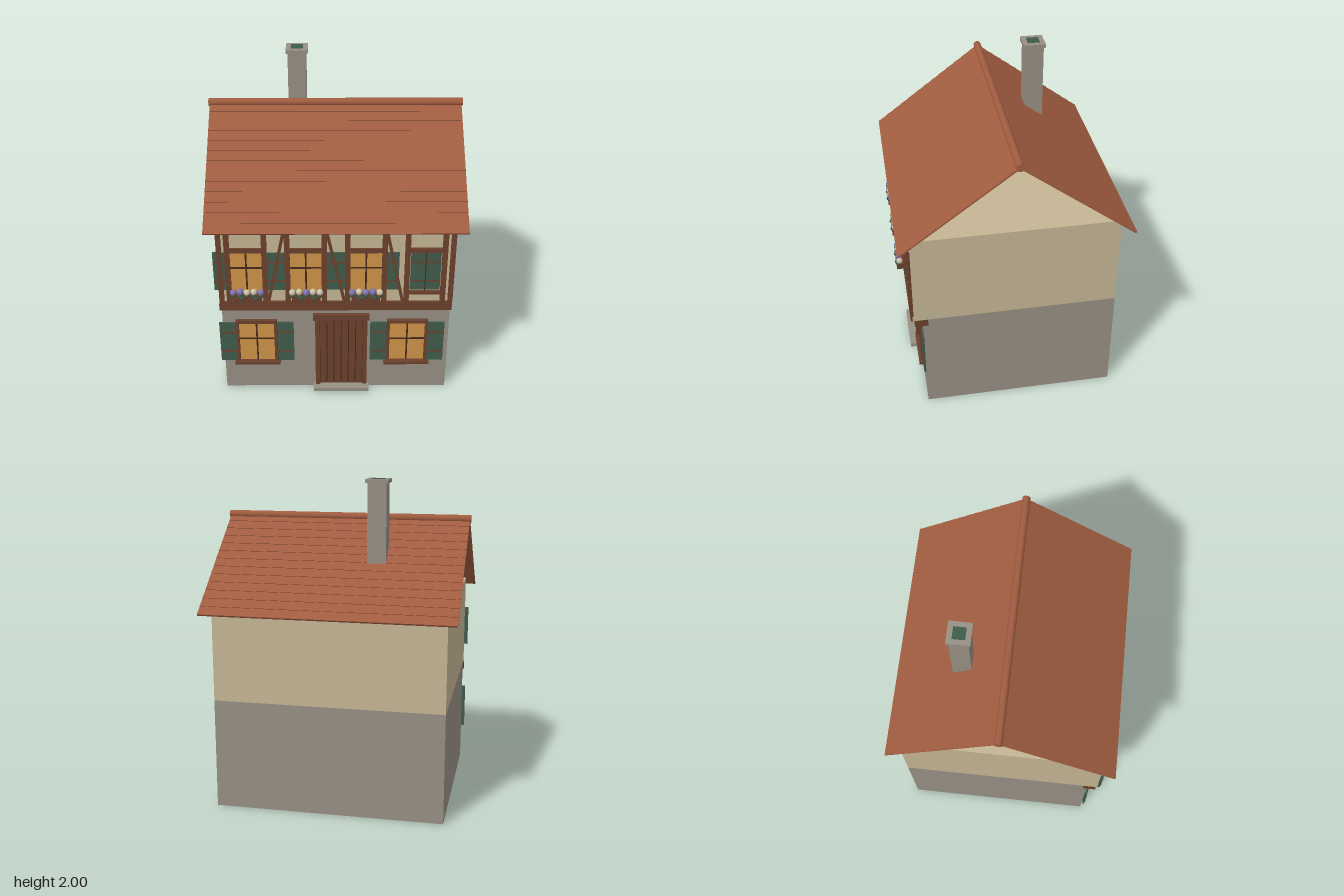
import * as THREE from 'three';

const mat = (name, color) => Object.assign(new THREE.MeshStandardMaterial({ color }), { name });
const M = {
  stone: mat('stone', 0x978f84),
  plaster: mat('plaster', 0xc4b594),
  timber: mat('timber', 0x6b402b),
  dark: mat('darkWood', 0x47291c),
  tile: mat('roofTile', 0xa05c40),
  green: mat('shutterGreen', 0x3f5b4b),
  glass: mat('warmGlass', 0xcf9348),
  violet: mat('violetPetal', 0x7f75b5),
  white: mat('palePetal', 0xcdc5ab),
};

// Box given by its limits on each axis
function box(parent, name, m, x0, x1, y0, y1, z0, z1) {
  const mesh = new THREE.Mesh(new THREE.BoxGeometry(x1 - x0, y1 - y0, z1 - z0), m);
  mesh.position.set((x0 + x1) / 2, (y0 + y1) / 2, (z0 + z1) / 2);
  mesh.name = name;
  parent.add(mesh);
  return mesh;
}

function group(parent, name) {
  const g = new THREE.Group();
  g.name = name;
  parent.add(g);
  return g;
}

function ball(parent, name, m, r, x, y, z) {
  const mesh = new THREE.Mesh(new THREE.SphereGeometry(r, 10, 8), m);
  mesh.position.set(x, y, z);
  mesh.name = name;
  parent.add(mesh);
}

// Shutter leaf with two cross battens
function shutter(parent, cx, w, y0, y1, z) {
  const g = group(parent, 'shutter');
  box(g, 'shutterLeaf', M.green, cx - w / 2, cx + w / 2, y0, y1, z, z + 0.012);
  for (const t of [0.25, 0.75]) {
    const y = y0 + (y1 - y0) * t;
    box(g, 'shutterBatten', M.timber, cx - w / 2 + 0.004, cx + w / 2 - 0.004, y - 0.005, y + 0.005, z + 0.01, z + 0.015);
  }
}

// Glass pane with a crossing pair of glazing bars
function pane(parent, cx, hw, y0, y1, barY, z) {
  box(parent, 'glass', M.glass, cx - hw, cx + hw, y0, y1, z, z + 0.005);
  box(parent, 'glazingBar', M.dark, cx - 0.005, cx + 0.005, y0, y1, z + 0.003, z + 0.009);
  box(parent, 'glazingBar', M.dark, cx - hw, cx + hw, barY - 0.005, barY + 0.005, z + 0.003, z + 0.009);
}

function groundWindow(parent, cx) {
  const g = group(parent, 'groundWindow');
  const z = 0.56;
  pane(g, cx, 0.11, 0.22, 0.51, 0.385, z);
  for (const s of [-1, 1]) {
    const x = cx + s * 0.118;
    box(g, 'windowJamb', M.timber, x - 0.009, x + 0.009, 0.22, 0.51, z, z + 0.022);
    shutter(g, cx + s * 0.179, 0.102, 0.22, 0.51, z + 0.002);
  }
  box(g, 'windowHead', M.timber, cx - 0.127, cx + 0.127, 0.508, 0.53, z, z + 0.022);
  box(g, 'windowSill', M.timber, cx - 0.142, cx + 0.142, 0.2, 0.22, z, z + 0.036);
}

// Planter with a row of blossoms; the pattern marks violet (v) and pale (w)
function flowerBox(parent, cx, pattern) {
  const g = group(parent, 'flowerBox');
  box(g, 'planter', M.timber, cx - 0.085, cx + 0.085, 0.735, 0.775, 0.637, 0.68);
  box(g, 'planterRim', M.timber, cx - 0.1, cx + 0.1, 0.768, 0.785, 0.63, 0.67);
  [...pattern].forEach((c, i) => {
    const x = cx + (i - 2) * 0.041;
    ball(g, 'blossom', c === 'v' ? M.violet : M.white, 0.02, x, 0.8 + (i % 2) * 0.004, 0.662);
    if (i % 2) ball(g, 'leaf', M.green, 0.014, x + 0.01, 0.768, 0.676);
    ball(g, 'leaf', M.green, 0.014, x, 0.782, 0.67);
  });
}

function buildDoor(parent) {
  const g = group(parent, 'door');
  const c = 0.033;
  box(g, 'doorBack', M.dark, c - 0.14, c + 0.14, 0.03, 0.535, 0.56, 0.564);
  for (let i = 0; i < 6; i++) {
    const x = c + (i - 2.5) * 0.045;
    box(g, 'doorPlank', M.timber, x - 0.0195, x + 0.0195, 0.03, 0.535, 0.56, 0.569);
  }
  for (const s of [-1, 1]) {
    const x = c + s * 0.148;
    box(g, 'doorPost', M.timber, x - 0.014, x + 0.014, 0.02, 0.54, 0.555, 0.582);
  }
  box(g, 'doorLintel', M.timber, c - 0.173, c + 0.173, 0.535, 0.575, 0.555, 0.587);
  ball(g, 'doorKnob', M.dark, 0.008, 0.127, 0.255, 0.572);
  box(g, 'doorstep', M.stone, c - 0.175, c + 0.175, 0.005, 0.03, 0.555, 0.625);
}

function buildUpperFront(parent) {
  const g = group(parent, 'timberFrame');
  const z0 = 0.62, z1 = 0.638;
  box(g, 'floorBeam', M.timber, -0.708, 0.703, 0.635, 0.68, 0.535, 0.615);
  box(g, 'sillBeam', M.timber, -0.7, 0.7, 0.68, 0.715, z0, z1);
  box(g, 'topBeam', M.timber, -0.7, 0.7, 1.205, 1.237, z0, z1);
  for (const s of [-1, 1]) box(g, 'cornerPost', M.timber, s * 0.686 - 0.015, s * 0.686 + 0.015, 0.715, 1.205, z0, z1);

  // Four window bays, the last one closed by its shutters
  [-0.53, -0.178, 0.178, 0.53].forEach((cx, i) => {
    const bay = group(g, 'upperWindow');
    for (const s of [-1, 1]) {
      const x = cx + s * 0.109;
      box(bay, 'windowPost', M.timber, x - 0.016, x + 0.016, 0.715, 1.205, z0, z1);
    }
    box(bay, 'windowHead', M.timber, cx - 0.095, cx + 0.095, 1.06, 1.09, z0, z1);
    if (i < 3) {
      box(bay, 'windowSill', M.timber, cx - 0.095, cx + 0.095, 0.765, 0.787, z0, z1);
      pane(bay, cx, 0.094, 0.785, 1.06, 0.955, 0.625);
      for (const s of [-1, 1]) shutter(bay, cx + s * 0.145, 0.1, 0.8, 1.06, 0.622);
      flowerBox(bay, cx, ['vvwwv', 'wwvww', 'vwvvw'][i]);
    } else {
      box(bay, 'windowSill', M.timber, cx - 0.125, cx + 0.125, 0.77, 0.79, z0, z1 + 0.005);
      for (const s of [-1, 1]) shutter(bay, cx + s * 0.046, 0.086, 0.8, 1.06, 0.622);
      box(bay, 'shutterGap', M.dark, cx - 0.004, cx + 0.004, 0.79, 1.06, 0.622, 0.63);
    }
  });

  // Diagonal braces between the bays
  for (const [xt, xb] of [[-0.305, -0.405], [-0.055, 0.05], [0.297, 0.4]]) {
    const len = Math.hypot(xt - xb, 0.49);
    const brace = box(g, 'brace', M.timber, -0.009, 0.009, -len / 2, len / 2, z0, z1 - 0.001);
    brace.position.x = (xt + xb) / 2;
    brace.position.y = 0.96;
    brace.rotation.z = -Math.atan2(xt - xb, 0.49);
  }
}

function buildRoof(parent) {
  const g = group(parent, 'roof');
  const run = 0.69, rise = 0.52, rows = 13;
  const length = Math.hypot(run, rise), angle = Math.atan2(rise, run), step = length / rows;
  for (const side of [0, Math.PI]) {
    const slope = group(g, 'roofSlope');
    slope.rotation.y = side;
    const plane = group(slope, 'tileRows');
    plane.position.y = 1.742;
    plane.rotation.x = angle;
    box(plane, 'roofDeck', M.tile, -0.763, 0.763, -0.007, 0, 0, length);
    // Each course lifts slightly at its lower edge
    for (let i = 0; i < rows; i++) {
      const row = box(plane, 'tileRow', M.tile, -0.763, 0.763, -0.004, 0.003, i * step, (i + 1) * step);
      row.rotation.x = -0.05;
    }
  }
  const ridge = new THREE.Mesh(new THREE.CylinderGeometry(0.024, 0.024, 1.54, 12), M.tile);
  ridge.name = 'ridgeTile';
  ridge.rotation.z = Math.PI / 2;
  ridge.position.y = 1.743;
  g.add(ridge);
}

function buildChimney(parent) {
  const g = group(parent, 'chimney');
  const cx = -0.239, cz = -0.266;
  const block = (name, m, h, y0, y1) => box(g, name, m, cx - h, cx + h, y0, y1, cz - h, cz + h);
  block('chimneyStack', M.stone, 0.057, 1.27, 1.975);
  block('chimneyCap', M.stone, 0.068, 1.975, 1.998);
  block('flue', M.green, 0.037, 1.993, 2.0);
}

export function createModel() {
  const house = new THREE.Group();
  house.name = 'house';
  box(house, 'groundFloor', M.stone, -0.702, 0.7, 0, 0.68, -0.617, 0.56);
  box(house, 'upperFloor', M.plaster, -0.702, 0.7, 0.68, 1.27, -0.617, 0.626);
  groundWindow(house, -0.493);
  groundWindow(house, 0.443);
  buildDoor(house);
  buildUpperFront(house);
  buildRoof(house);
  buildChimney(house);
  return house;
}
